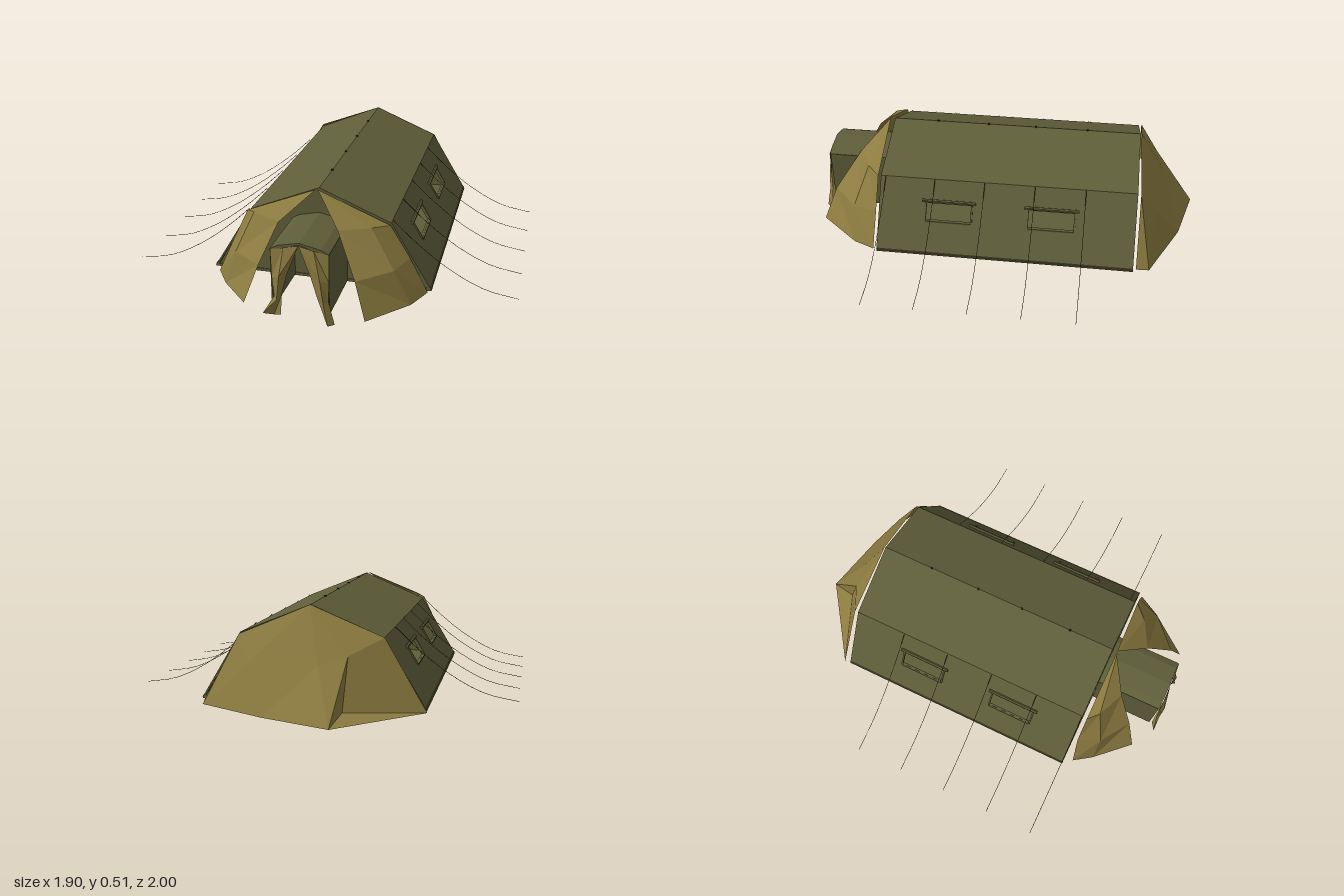
import * as THREE from 'three';

const mat = (color) => new THREE.MeshStandardMaterial({ color, roughness: 0.9, flatShading: true, side: THREE.DoubleSide });
const canvas = mat(0x5f5e3a), tan = mat(0x8c7b40), dark = mat(0x2b291c);

const BACK = -0.685, FRONT = 0.615;
const EAVE = [0.345, 0.36], FOOT = [0.545, 0.03];
// outward position of the sloping side wall at height y
const wallX = (y) => THREE.MathUtils.mapLinear(y, FOOT[1], EAVE[1], FOOT[0], EAVE[0]);

export function createModel() {
  const model = new THREE.Group();

  const add = (name, geometry, material, parent = model) => {
    const mesh = new THREE.Mesh(geometry, material);
    mesh.name = name;
    parent.add(mesh);
    return mesh;
  };

  // cloth panel from a few corner points and triangles between them
  const cloth = (points, tris) => {
    const g = new THREE.BufferGeometry();
    g.setAttribute('position', new THREE.Float32BufferAttribute(points.flat(), 3));
    g.setIndex(tris.flat());
    const flat = g.toNonIndexed();
    flat.computeVertexNormals();
    return flat;
  };

  // cloth stretched between equally long rows of points
  const drape = (rows) => {
    const n = rows[0].length, tris = [];
    for (let r = 0; r < rows.length - 1; r++) {
      for (let i = 0; i < n - 1; i++) {
        const a = r * n + i;
        tris.push([a, a + n, a + 1], [a + 1, a + n, a + n + 1]);
      }
    }
    return cloth(rows.flat(), tris);
  };

  const shapeOf = (pts) => new THREE.Shape(pts.map((p) => new THREE.Vector2(...p)));
  const prism = (pts, z0, z1) =>
    new THREE.ExtrudeGeometry(shapeOf(pts), { depth: z1 - z0, bevelEnabled: false }).translate(0, 0, z0);

  // folded roof, end walls and floor
  const [ex, ey] = EAVE, t = 0.012;
  add('roof', prism([[-ex, ey], [0, 0.503], [ex, ey], [ex - t, ey - t], [0, 0.503 - t], [t - ex, ey - t]], BACK, FRONT), canvas);
  const gable = [[-0.53, 0.035], [-0.34, 0.355], [0, 0.494], [0.34, 0.355], [0.53, 0.035]];
  add('backWall', prism(gable, BACK + 0.004, BACK + 0.012), canvas);
  add('frontWall', prism(gable, FRONT - 0.012, FRONT - 0.004), canvas);
  add('floor', new THREE.BoxGeometry(1.085, 0.014, FRONT - BACK).translate(0, 0.034, (BACK + FRONT) / 2), canvas);

  // side walls with two window openings each, leaned in by the slope rule
  const windows = [-0.265, 0.255], half = 0.115;
  for (const side of [-1, 1]) {
    const shape = shapeOf([[BACK, 0.03], [FRONT, 0.03], [FRONT, ey], [BACK, ey]]);
    for (const z of windows) {
      const hole = [[z - half, 0.18], [z - half, 0.255], [z + half, 0.255], [z + half, 0.18]];
      shape.holes.push(new THREE.Path(hole.map((p) => new THREE.Vector2(...p))));
    }
    const g = new THREE.ExtrudeGeometry(shape, { depth: 0.01, bevelEnabled: false });
    const p = g.attributes.position;
    for (let i = 0; i < p.count; i++) {
      const z = p.getX(i), y = p.getY(i), depth = p.getZ(i);
      p.setXYZ(i, side * (wallX(y) - depth), y, z);
    }
    // mirror keeps one side wound the right way round; flip the other
    if (side > 0) {
      for (let i = 0; i < p.count; i += 3) {
        const b = [p.getX(i + 1), p.getY(i + 1), p.getZ(i + 1)];
        p.setXYZ(i + 1, p.getX(i + 2), p.getY(i + 2), p.getZ(i + 2));
        p.setXYZ(i + 2, ...b);
      }
    }
    g.computeVertexNormals();
    add('sideWall', g, canvas);

    for (const z of windows) {
      // rolled-up window cover and thin frame
      const roll = new THREE.CylinderGeometry(0.009, 0.009, 0.275, 6).rotateX(Math.PI / 2);
      add('windowRoll', roll.translate(side * (wallX(0.268) + 0.006), 0.268, z), canvas);
      for (const e of [-1, 1]) {
        const post = new THREE.BoxGeometry(0.008, 0.09, 0.008).rotateZ(side * Math.atan2(0.2, 0.33));
        add('windowFrame', post.translate(side * (wallX(0.218) + 0.003), 0.218, z + e * (half + 0.003)), canvas);
      }
      const sill = new THREE.BoxGeometry(0.008, 0.008, 2 * half);
      add('windowSill', sill.translate(side * (wallX(0.177) + 0.003), 0.177, z), canvas);
    }

    // guy ropes, sagging from the eave to the ground
    for (let i = 0; i < 5; i++) {
      const z = (side > 0 ? -0.43 : -0.405) + i * 0.2545;
      const path = new THREE.CatmullRomCurve3([[0.35, 0.362], [0.46, 0.26], [0.62, 0.14], [0.79, 0.055], [0.95, 0.025]]
        .map(([x, y]) => new THREE.Vector3(side * x, y, z)));
      add('guyRope', new THREE.TubeGeometry(path, 12, 0.0012, 4), dark);
    }
  }

  // small caps along the ridge
  for (const z of [-0.41, -0.14, 0.11, 0.38]) {
    add('ridgeCap', new THREE.CylinderGeometry(0.006, 0.006, 0.008, 6).translate(0, 0.504, z), dark);
  }

  // entrance porch: gabled roof and two walls
  const porch = new THREE.Group();
  porch.name = 'porch';
  model.add(porch);
  add('porchRoof', prism([[-0.135, 0.335], [-0.1, 0.355], [0, 0.377], [0.1, 0.355], [0.137, 0.335], [0.13, 0.327], [0, 0.367], [-0.128, 0.327]],
    FRONT, 0.952), canvas, porch);
  for (const x of [-0.131, 0.133]) {
    add('porchWall', new THREE.BoxGeometry(0.006, 0.3, 0.335).translate(x, 0.183, 0.783), canvas, porch);
  }

  // porch curtains, gathered outward
  add('curtain', drape([
    [[-0.132, 0.335, 0.955], [-0.125, 0.2, 0.965], [-0.115, 0.11, 0.97], [-0.165, 0.025, 0.99]],
    [[-0.07, 0.35, 0.958], [-0.085, 0.22, 0.985], [-0.1, 0.1, 0.985], [-0.12, 0.01, 0.965]],
    [[0, 0.365, 0.955], [-0.055, 0.22, 0.965], [-0.08, 0.12, 0.965], [-0.085, 0.02, 0.975]],
  ]), tan, porch);
  add('curtain', drape([
    [[0.138, 0.335, 0.955], [0.138, 0.2, 0.958], [0.135, 0.11, 0.962], [0.165, 0, 0.97]],
    [[0.07, 0.35, 0.958], [0.1, 0.22, 0.98], [0.118, 0.1, 0.985], [0.14, 0.005, 1]],
    [[0, 0.365, 0.955], [0.055, 0.22, 0.962], [0.085, 0.12, 0.965], [0.12, 0.02, 0.965]],
  ]), tan, porch);

  // big front flaps, tied open to either side
  add('frontFlapLeft', drape([
    [[0, 0.503, 0.64], [0.345, 0.355, 0.63], [0.44, 0.2, 0.63], [0.53, 0.03, 0.635]],
    [[0, 0.503, 0.645], [0.27, 0.365, 0.7], [0.39, 0.19, 0.76], [0.47, 0.02, 0.75]],
    [[0, 0.503, 0.64], [0.13, 0.37, 0.775], [0.24, 0.19, 0.9], [0.3, 0.03, 0.96]],
  ]), tan);
  add('frontFlapRight', drape([
    [[-0.01, 0.503, 0.64], [-0.35, 0.365, 0.64], [-0.43, 0.2, 0.64], [-0.505, 0.03, 0.66]],
    [[-0.01, 0.503, 0.645], [-0.3, 0.38, 0.69], [-0.38, 0.19, 0.75], [-0.44, 0.015, 0.75]],
    [[-0.01, 0.503, 0.64], [-0.16, 0.37, 0.75], [-0.23, 0.19, 0.85], [-0.285, 0.02, 0.915]],
  ]), tan);

  // closed back canopy with a fold left of centre
  add('backCanopy', cloth([
    [-0.55, 0.03, -0.715], [-0.35, 0.365, -0.7], [0, 0.503, -0.69], [0.345, 0.355, -0.7], // 0-3 arch
    [0.525, 0.03, -0.7], [0.51, 0.02, -0.765], [0.17, 0.02, -0.92], [-0.16, 0.01, -1], // 4-7 hem
    [-0.2, 0.29, -0.79], [-0.19, 0.05, -0.865], [-0.07, 0.25, -0.83], [0.28, 0.23, -0.79], // 8-11 folds
  ], [
    [0, 1, 8], [1, 2, 8], [0, 8, 9], [9, 8, 7], [0, 9, 7],
    [2, 10, 8], [8, 10, 7], [10, 6, 7], [10, 11, 6], [11, 5, 6],
    [2, 11, 10], [2, 3, 11], [3, 5, 11], [3, 4, 5],
  ]), tan);

  return model;
}
